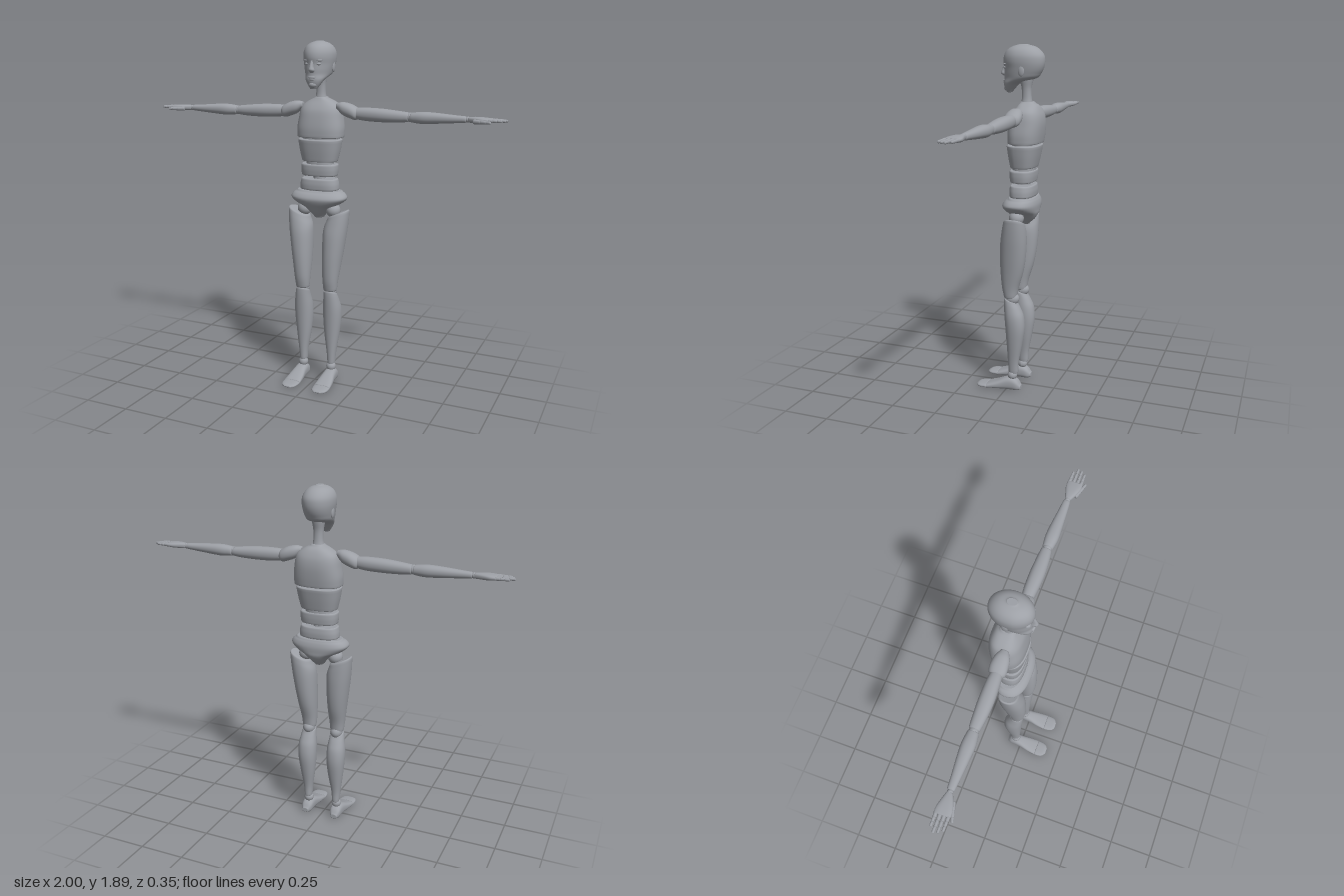
import * as THREE from 'three';

const grey = new THREE.MeshStandardMaterial({ color: 0x9da0a6 });
grey.name = 'matte grey';

// How section space (a, t, b) maps to (x, y, z) for each loft direction
const AXES = {
  y: (a, t, b) => [a, t, b],
  x: (a, t, b) => [t, b, a],
  z: (a, t, b) => [b, a, t],
};

// Closed smooth loft. Sections: [t, aMin, aMax, bMin, bMax], capped with a rounded rim.
function loft(sections, { axis = 'y', power = 2.2, bevel = 0.006, sides = 32, steps = 4, warp } = {}) {
  const mid = new THREE.CatmullRomCurve3(sections.map(s => new THREE.Vector3((s[1] + s[2]) / 2, s[0], (s[3] + s[4]) / 2)), false, 'catmullrom');
  const rad = new THREE.CatmullRomCurve3(sections.map(s => new THREE.Vector3((s[2] - s[1]) / 2, 0, (s[4] - s[3]) / 2)), false, 'catmullrom');
  const n = (sections.length - 1) * steps;
  const rings = [];
  for (let i = 0; i <= n; i++) {
    const c = mid.getPoint(i / n), r = rad.getPoint(i / n);
    rings.push([c.x, c.y, c.z, r.x, r.z]);
  }
  const rim = (r, dir, out, inset) =>
    [r[0], r[1] + dir * out * bevel, r[2], Math.max(r[3] - inset * bevel, r[3] * 0.3), Math.max(r[4] - inset * bevel, r[4] * 0.3)];
  const first = rings[0], last = rings[n];
  rings.unshift(rim(first, -1, 1, 1), rim(first, -1, 0.7, 0.3));
  rings.push(rim(last, 1, 0.7, 0.3), rim(last, 1, 1, 1));

  const pos = [], index = [];
  const put = (a, t, b) => {
    const v = new THREE.Vector3(...AXES[axis](a, t, b));
    if (warp) warp(v);
    pos.push(v.x, v.y, v.z);
  };
  const ring = r => {
    for (let j = 0; j < sides; j++) {
      const an = j / sides * Math.PI * 2, c = Math.cos(an), s = Math.sin(an);
      put(r[0] + r[3] * Math.sign(c) * Math.abs(c) ** (2 / power), r[1], r[2] + r[4] * Math.sign(s) * Math.abs(s) ** (2 / power));
    }
  };
  rings.forEach(ring);
  for (let i = 0; i < rings.length - 1; i++) for (let j = 0; j < sides; j++) {
    const p = i * sides + j, q = i * sides + (j + 1) % sides;
    index.push(p, p + sides, q, q, p + sides, q + sides);
  }
  for (const [r, top] of [[rings[0], false], [rings[rings.length - 1], true]]) {
    const base = pos.length / 3;
    ring(r);
    put(r[0], r[1], r[2]);
    for (let j = 0; j < sides; j++) {
      const p = base + j, q = base + (j + 1) % sides;
      index.push(base + sides, ...(top ? [q, p] : [p, q]));
    }
  }
  const g = new THREE.BufferGeometry();
  g.setAttribute('position', new THREE.Float32BufferAttribute(pos, 3));
  g.setIndex(index);
  g.computeVertexNormals();
  return g;
}

function ball(x, y, z, rx, ry = rx, rz = rx) {
  return new THREE.SphereGeometry(1, 24, 16).scale(rx, ry, rz).translate(x, y, z);
}

// Mirror across x = 0, keeping faces outward
function mirrored(geo) {
  const g = geo.clone().scale(-1, 1, 1), ix = g.index;
  for (let i = 0; i < ix.count; i += 3) {
    const t = ix.getX(i);
    ix.setX(i, ix.getX(i + 1));
    ix.setX(i + 1, t);
  }
  g.computeVertexNormals();
  return g;
}

export function createModel() {
  const model = new THREE.Group();
  model.name = 'jointedMannequin';
  const add = (name, geo) => {
    const m = new THREE.Mesh(geo, grey);
    m.name = name;
    model.add(m);
  };
  const pair = (name, geo) => { add(name + 'Left', geo); add(name + 'Right', mirrored(geo)); };
  // Symmetric torso section: height, half width, back, front
  const sym = list => list.map(([y, w, b, f]) => [y, -w, w, b, f]);

  // Head: chin to crown, face slightly narrowed
  add('head', loft(sym([
    [1.643, 0.022, -0.002, 0.028], [1.665, 0.038, -0.02, 0.038], [1.69, 0.053, -0.05, 0.042],
    [1.715, 0.066, -0.135, 0.039], [1.74, 0.073, -0.158, 0.04], [1.77, 0.079, -0.172, 0.039],
    [1.80, 0.083, -0.177, 0.044], [1.83, 0.081, -0.173, 0.04], [1.857, 0.068, -0.153, 0.024],
    [1.875, 0.046, -0.125, -0.004], [1.884, 0.02, -0.09, -0.035],
  ]), { bevel: 0.003, power: 2.1, sides: 40, warp: v => { if (v.z > -0.03) v.x *= 1 - (v.z + 0.03) * 1.2; } }));
  add('nose', loft(sym([[1.727, 0.012, 0.02, 0.048], [1.738, 0.016, 0.02, 0.061], [1.755, 0.011, 0.02, 0.057], [1.785, 0.007, 0.02, 0.045]]),
    { bevel: 0.003, sides: 16 }));
  add('upperLip', ball(0, 1.7, 0.037, 0.022, 0.006, 0.011));
  add('lowerLip', ball(0, 1.69, 0.036, 0.018, 0.006, 0.011));
  add('chin', ball(0, 1.662, 0.024, 0.024, 0.017, 0.019));
  pair('eye', ball(0.031, 1.769, 0.021, 0.014, 0.008, 0.014));
  pair('brow', ball(0.031, 1.787, 0.022, 0.022, 0.006, 0.014));
  pair('ear', ball(0.074, 1.755, -0.075, 0.008, 0.03, 0.017));

  // Neck, flared at both ends
  add('neck', loft(sym([[1.575, 0.034, -0.115, -0.05], [1.61, 0.026, -0.108, -0.056], [1.66, 0.026, -0.106, -0.055], [1.70, 0.032, -0.114, -0.046], [1.73, 0.036, -0.12, -0.04]])));

  // Torso blocks
  add('chest', loft(sym([
    [1.385, 0.128, -0.165, 0.008], [1.43, 0.129, -0.171, 0.008], [1.48, 0.122, -0.174, 0.001],
    [1.52, 0.115, -0.17, -0.008], [1.548, 0.102, -0.16, -0.022], [1.572, 0.07, -0.145, -0.038], [1.588, 0.036, -0.126, -0.048],
  ]), { power: 2.6, sides: 40 }));
  add('ribs', loft(sym([[1.256, 0.099, -0.138, -0.002], [1.31, 0.111, -0.15, 0.007], [1.364, 0.12, -0.16, 0.014]]), { power: 2.6 }));
  add('waist', loft(sym([[1.178, 0.1, -0.132, -0.003], [1.205, 0.103, -0.135, 0], [1.23, 0.103, -0.135, 0]]), { power: 2.6 }));
  add('belly', loft(sym([[1.1, 0.109, -0.133, -0.001], [1.125, 0.108, -0.134, 0], [1.15, 0.103, -0.131, -0.003]]), { power: 2.6 }));
  // Recessed joints between the blocks
  [['chestJoint', 1.375, 0.1, 0.02], ['ribsJoint', 1.242, 0.075, 0.02], ['bellyJoint', 1.088, 0.09, 0.02]].forEach(([name, y, w, h]) =>
    add(name, loft(sym([[y - h / 2, w, -0.13, -0.01], [y + h / 2, w, -0.13, -0.01]]), { bevel: 0.002 })));
  add('spineCore', loft(sym([[1.07, 0.033, -0.105, -0.03], [1.38, 0.033, -0.105, -0.03]]), { bevel: 0.002 }));

  // Pelvis tapering to the crotch
  add('pelvis', loft(sym([
    [0.945, 0.026, -0.1, -0.03], [0.97, 0.046, -0.128, -0.008], [1.0, 0.08, -0.146, 0.012], [1.023, 0.128, -0.149, 0.026],
    [1.05, 0.158, -0.15, 0.034], [1.072, 0.15, -0.145, 0.022], [1.086, 0.131, -0.138, 0.004],
  ]), { power: 2.4, sides: 40 }));

  // Legs
  pair('hipBall', ball(0.085, 0.985, -0.055, 0.04));
  pair('thigh', loft([
    [0.545, 0.046, 0.121, -0.058, 0.014], [0.6, 0.042, 0.127, -0.068, 0.025], [0.68, 0.038, 0.138, -0.092, 0.031],
    [0.76, 0.036, 0.15, -0.107, 0.032], [0.85, 0.036, 0.163, -0.115, 0.027], [0.92, 0.042, 0.173, -0.115, 0.014], [0.962, 0.056, 0.177, -0.111, 0.002],
  ], {
    bevel: 0.009,
    warp: v => { v.y += (v.x - 0.117) * 0.42 * THREE.MathUtils.smoothstep(v.y, 0.85, 0.962); },
  }));
  pair('kneeBall', ball(0.083, 0.533, -0.03, 0.034, 0.036, 0.04));
  pair('shin', loft([
    [0.105, 0.065, 0.106, -0.066, -0.012], [0.17, 0.06, 0.112, -0.07, -0.008], [0.27, 0.045, 0.126, -0.089, -0.002],
    [0.36, 0.037, 0.136, -0.102, 0.004], [0.43, 0.037, 0.137, -0.097, 0.009], [0.49, 0.043, 0.128, -0.078, 0.013], [0.52, 0.046, 0.121, -0.06, 0.013],
  ], { warp: v => { v.y += (v.z + 0.025) * 0.35 * THREE.MathUtils.smoothstep(v.y, 0.43, 0.52); } }));
  pair('ankleBall', ball(0.086, 0.085, -0.033, 0.027));

  // Feet: [z, bottom, top, inner x, outer x]
  pair('foot', loft([
    [-0.082, 0.006, 0.034, 0.07, 0.108], [-0.062, 0, 0.06, 0.058, 0.118], [-0.03, 0, 0.074, 0.054, 0.122],
    [0.01, 0, 0.066, 0.052, 0.126], [0.055, 0, 0.046, 0.046, 0.134], [0.105, 0, 0.027, 0.043, 0.139],
  ], { axis: 'z', power: 2.6, bevel: 0.003 }));
  pair('toes', loft([
    [0.111, 0, 0.025, 0.043, 0.139], [0.14, 0, 0.022, 0.047, 0.137], [0.16, 0.001, 0.019, 0.055, 0.128], [0.17, 0.004, 0.014, 0.068, 0.112],
  ], { axis: 'z', power: 2.5, bevel: 0.003 }));

  // Arms along x: [x, z back, z front, bottom, top]
  const arm = (name, s, o = {}) => pair(name, loft(s, { axis: 'x', ...o }));
  arm('shoulder', [
    [0.105, -0.09, -0.045, 1.53, 1.566], [0.135, -0.107, -0.03, 1.503, 1.57], [0.175, -0.115, -0.025, 1.487, 1.562],
    [0.205, -0.112, -0.027, 1.479, 1.548], [0.219, -0.1, -0.038, 1.487, 1.538],
  ]);
  arm('upperArm', [
    [0.2, -0.098, -0.04, 1.486, 1.542], [0.26, -0.105, -0.034, 1.477, 1.546], [0.35, -0.107, -0.03, 1.474, 1.544],
    [0.44, -0.103, -0.036, 1.476, 1.536], [0.492, -0.099, -0.043, 1.481, 1.53],
  ]);
  pair('elbowBall', ball(0.504, 1.506, -0.07, 0.024));
  arm('forearm', [
    [0.513, -0.098, -0.042, 1.48, 1.53], [0.57, -0.104, -0.034, 1.475, 1.536], [0.64, -0.1, -0.037, 1.479, 1.534],
    [0.73, -0.091, -0.043, 1.486, 1.527], [0.79, -0.086, -0.048, 1.491, 1.523],
  ]);
  pair('wristBall', ball(0.803, 1.507, -0.066, 0.015));
  arm('palm', [
    [0.81, -0.082, -0.049, 1.493, 1.521], [0.845, -0.092, -0.033, 1.492, 1.523], [0.88, -0.101, -0.022, 1.493, 1.522], [0.91, -0.102, -0.021, 1.497, 1.519],
  ], { power: 2.6, bevel: 0.004 });

  // Fingers, each of three segments, front to back
  [[0.978, -0.031], [0.992, -0.051], [0.999, -0.071], [0.975, -0.091]].forEach(([tip, z], f) => {
    const len = (tip - 0.91) / 3;
    for (let k = 0; k < 3; k++) {
      const x = 0.912 + k * len, r = 0.0092 - k * 0.0011;
      arm(`finger${f + 1}Segment${k + 1}`, [
        [x, z - r, z + r, 1.508 - r, 1.508 + r], [x + len - 0.005, z - r * 0.9, z + r * 0.9, 1.508 - r * 0.9, 1.508 + r * 0.9],
      ], { sides: 12, steps: 2, bevel: 0.0035 });
    }
  });
  // Thumb angled forward from the palm
  const thumb = [[0, 0.012, 0.035], [0.038, 0.01, 0.026], [0.067, 0.008, 0.02]];
  thumb.forEach(([x, r, len], k) => pair(`thumbSegment${k + 1}`,
    loft([[x, -r, r, -r, r], [x + len, -r * 0.85, r * 0.85, -r * 0.85, r * 0.85]], { axis: 'x', sides: 12, bevel: 0.004 })
      .rotateY(-0.32).translate(0.842, 1.501, -0.036)));

  return model;
}
